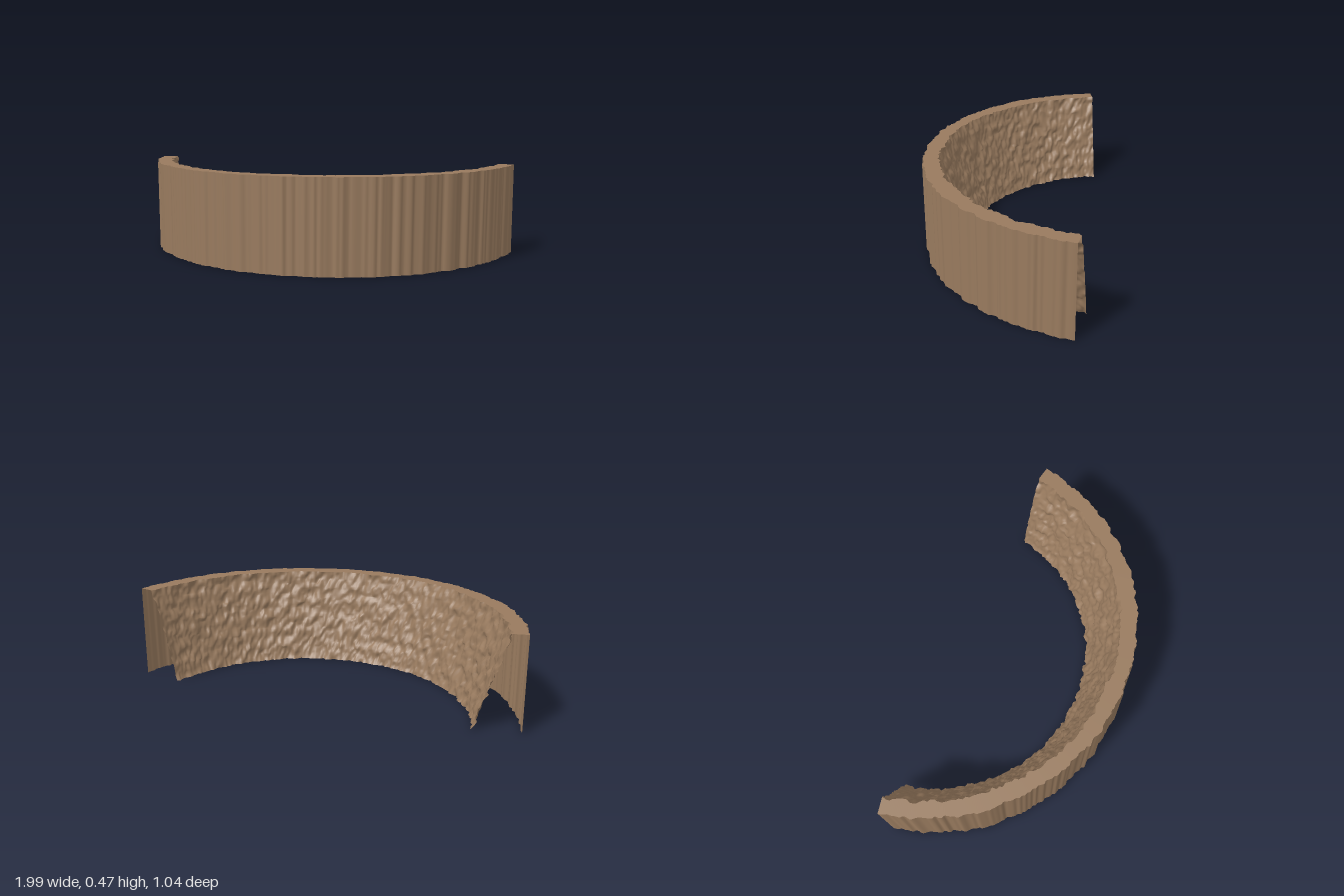
import * as THREE from 'three';

const CX = 0.04, CZ = -0.525;            // centre of the arc
const START = Math.PI / 8, END = Math.PI; // sweep, from +x towards the front
const HEIGHT = 0.475, OUTER = 1.035, RIM = 0.955, FOOT = 0.805;
const SEGMENTS = 340, COURSES = 6;

// Repeatable hash in -1..1 and smooth value noise made from it
function hash(x, y) {
  const s = Math.sin(x * 127.1 + y * 311.7) * 43758.5453;
  return (s - Math.floor(s)) * 2 - 1;
}
function noise(x, y) {
  const i = Math.floor(x), j = Math.floor(y);
  const ease = (t) => t * t * (3 - 2 * t);
  const a = ease(x - i), b = ease(y - j);
  const low = hash(i, j) * (1 - a) + hash(i + 1, j) * a;
  const high = hash(i, j + 1) * (1 - a) + hash(i + 1, j + 1) * a;
  return low * (1 - b) + high * b;
}

// Sweeps a profile rule (u along the arc, v across it -> [radius, height]) round the arc
function sweep(name, rows, rule, material) {
  const points = [], faces = [];
  for (let i = 0; i <= SEGMENTS; i++) {
    const u = i / SEGMENTS, angle = START + (END - START) * u;
    for (let j = 0; j <= rows; j++) {
      const [r, y] = rule(u, j / rows);
      points.push(CX + r * Math.cos(angle), y, CZ + r * Math.sin(angle));
      if (i < SEGMENTS && j < rows) {
        const a = i * (rows + 1) + j, b = a + rows + 1;
        faces.push(a, a + 1, b, a + 1, b + 1, b);
      }
    }
  }
  const geometry = new THREE.BufferGeometry();
  geometry.setAttribute('position', new THREE.Float32BufferAttribute(points, 3));
  geometry.setIndex(faces);
  geometry.computeVertexNormals();
  const mesh = new THREE.Mesh(geometry, material);
  mesh.name = name;
  return mesh;
}

// Fluted radius of the outer face
function outerRadius(u) {
  return OUTER + 0.007 * noise(u * 75, 3) + 0.006 * noise(u * 190, 9);
}

// Rough rock slope: six uneven ledges stepping inwards towards the foot
function slopePoint(u, v) {
  const s = v * COURSES + 0.12 * noise(u * 30, 40) * Math.sin(Math.PI * v);
  const f = s - Math.floor(s);
  const step = (Math.floor(s) + f * f * f) / COURSES;
  const fall = 0.55 * v + 0.45 * step;
  const rough = 0.009 * noise(u * 70, v * 12 + 5) + 0.007 * noise(u * 160, v * 24 + 60);
  const ragged = 0.007 * noise(u * 100, v * 18 + 90) * Math.min(1, 8 * v, 8 * (1 - v));
  return [RIM + (FOOT - RIM) * fall + rough, HEIGHT * (1 - v) + ragged];
}

export function createModel() {
  const rock = new THREE.MeshStandardMaterial({ color: 0x987a5e, side: THREE.DoubleSide });
  rock.name = 'brown rock';

  const group = new THREE.Group();
  group.name = 'curvedRockWall';

  // Upright outer face, open at the ends and underneath
  group.add(sweep('outerFace', 1, (u, v) => [outerRadius(u), HEIGHT * v], rock));

  // Flat rim joining the two faces
  group.add(sweep('topRim', 1, (u, v) => [
    THREE.MathUtils.lerp(outerRadius(u), slopePoint(u, 0)[0], v), HEIGHT], rock));

  // Craggy inner slope
  group.add(sweep('innerSlope', 42, slopePoint, rock));

  return group;
}
